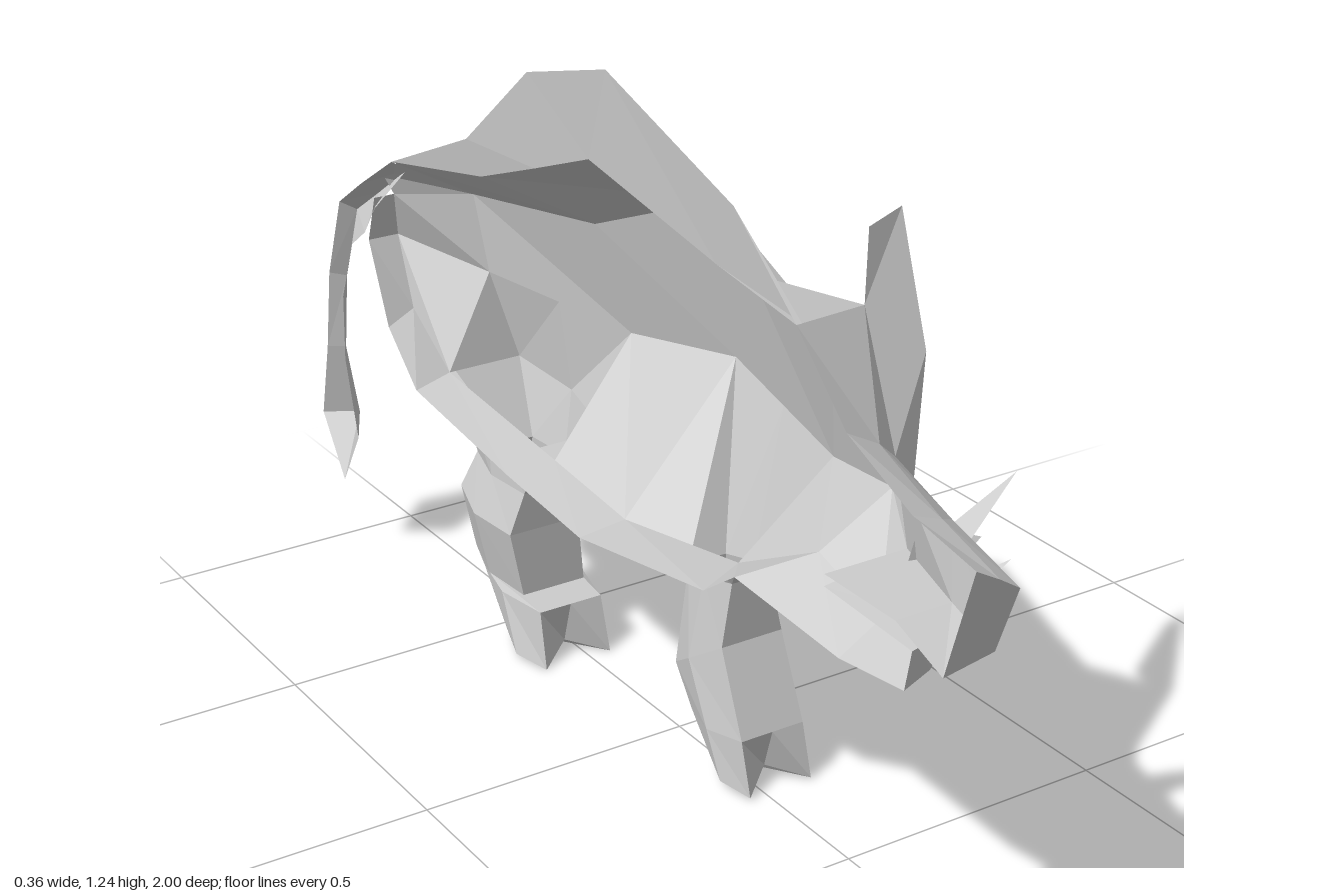
import * as THREE from 'three';

const hide = new THREE.MeshStandardMaterial({ color: 0xcccccc, flatShading: true, side: THREE.DoubleSide });
hide.name = 'grey hide';
const CUT = -0.18; // plane where the half model is open

const mix = (a, b, t = 0.5) => a.map((v, i) => v + (b[i] - v) * t);

// Skins a list of cross-sections; each section is a list of [x, y, z] points.
function loft(name, rows, { closed = false, cap = false } = {}) {
  const out = [];
  const n = rows[0].length;
  for (let r = 0; r < rows.length - 1; r++) {
    for (let c = 0; c < (closed ? n : n - 1); c++) {
      const k = (c + 1) % n;
      const a = rows[r][c], b = rows[r][k], e = rows[r + 1][k], d = rows[r + 1][c];
      out.push(...a, ...d, ...e, ...a, ...e, ...b);
    }
  }
  if (cap) {
    const end = rows[rows.length - 1];
    const mid = [0, 1, 2].map(i => end.reduce((s, p) => s + p[i], 0) / n);
    for (let c = 0; c < n; c++) out.push(...mid, ...end[(c + 1) % n], ...end[c]);
  }
  const g = new THREE.BufferGeometry();
  g.setAttribute('position', new THREE.Float32BufferAttribute(out, 3));
  g.computeVertexNormals();
  const mesh = new THREE.Mesh(g, hide);
  mesh.name = name;
  return mesh;
}

// Trunk sections from rump to shoulder: spine, back, flank, belly edge, belly middle
const trunk = [
  [[-0.16, 0.84, -0.735], [-0.14, 0.80, -0.735], [-0.12, 0.71, -0.765], [-0.12, 0.58, -0.715], [CUT, 0.56, -0.70]],
  [[-0.17, 0.885, -0.66], [-0.02, 0.80, -0.655], [0.0, 0.65, -0.64], [-0.10, 0.48, -0.62], [CUT, 0.47, -0.60]],
  [[-0.17, 0.95, -0.35], [0.04, 0.83, -0.33], [0.10, 0.62, -0.31], [-0.09, 0.44, -0.26], [CUT, 0.43, -0.27]],
  [[-0.17, 1.08, 0], [0.075, 0.965, 0], [0.14, 0.66, -0.04], [-0.09, 0.42, -0.03], [CUT, 0.41, -0.03]],
  [[-0.17, 1.02, 0.36], [0.04, 0.855, 0.37], [0.12, 0.60, 0.27], [-0.07, 0.465, 0.28], [CUT, 0.475, 0.345]],
];
const shoulder = trunk[4];

// Leg ring: front and back heights and depths, inner and outer x, toe notch.
function legRing([yf, yb, zf, zb, xi, xo, notch = 0]) {
  const cx = (xi + xo) / 2, w = (xo - xi) / 2, ym = (yf + yb) / 2, zm = (zf + zb) / 2;
  return [
    [cx - w * 0.75, yf, zf], [cx, yf + notch * 0.4, zf - notch], [cx + w * 0.75, yf, zf],
    [xo, ym, zm], [cx + w * 0.75, yb, zb], [cx - w * 0.75, yb, zb], [xi, ym, zm],
  ];
}

// Leg growing out of the opening between two neighbouring trunk sections.
function leg(name, back, front, rings) {
  const [outB, inB, outF, inF] = [back[2], back[3], front[2], front[3]];
  const socket = [inF, mix(inF, outF), outF, mix(outF, outB), outB, inB, mix(inB, inF)];
  return loft(name, [socket, ...rings.map(legRing)], { closed: true, cap: true });
}

// Tapered spike from a triangular base to a tip.
function spike(name, base, tip) {
  return loft(name, [base, base.map(() => tip)], { closed: true });
}

export function createModel() {
  const model = new THREE.Group();
  model.name = 'halfBoar';

  // Trunk, leaving openings for the legs
  model.add(loft('back', trunk.map(s => s.slice(0, 3))));
  model.add(loft('belly', trunk.map(s => s.slice(3))));
  model.add(loft('flank', trunk.slice(2, 4).map(s => s.slice(2, 4))));
  model.add(loft('haunch', trunk.slice(0, 2).map(s => s.slice(2, 4))));
  model.add(loft('rump', [
    [[CUT, 0.80, -0.735], [CUT, 0.71, -0.765], [CUT, 0.56, -0.70]],
    trunk[0].slice(1, 4),
  ]));

  // Crest: thin strip from the spine up to the ridge
  const ridge = [[0.89, -0.66], [1.01, -0.38], [1.18, -0.17], [1.245, 0.07], [1.13, 0.42], [1.0, 0.58]];
  const spine = [[0.885, -0.66], [0.95, -0.35], [1.016, -0.17], [1.08, 0], [1.02, 0.36], [1.0, 0.58]];
  model.add(loft('crest', ridge.map(([y, z], i) => [[CUT, y, z], [-0.17, ...spine[i]]])));

  // Neck and cheeks
  const face = [
    [CUT, 0.88, 0.705], [-0.11, 0.84, 0.69], [-0.05, 0.79, 0.65],
    [-0.03, 0.64, 0.66], [-0.10, 0.555, 0.69], [CUT, 0.52, 0.70],
  ];
  model.add(loft('neck', [
    [shoulder[0], mix(shoulder[0], shoulder[1]), ...shoulder.slice(1)],
    [[CUT, 1.0, 0.58], [0, 0.965, 0.50], [0.095, 0.88, 0.53], [0.04, 0.67, 0.53], [-0.08, 0.585, 0.51], [CUT, 0.535, 0.43]],
    face,
  ]));

  // Snout and lower jaw
  model.add(loft('snout', [
    [...face.slice(0, 4), [CUT, 0.64, 0.66]],
    [[CUT, 0.815, 0.86], [-0.12, 0.79, 0.85], [-0.07, 0.76, 0.81], [-0.08, 0.64, 0.83], [CUT, 0.64, 0.83]],
    [[CUT, 0.79, 1.0], [-0.13, 0.76, 0.99], [-0.085, 0.73, 0.98], [-0.09, 0.615, 0.94], [CUT, 0.60, 0.94]],
  ], { cap: true }));
  model.add(loft('lowerJaw', [
    [[CUT, 0.62, 0.66], ...face.slice(3)],
    [[CUT, 0.61, 0.87], [-0.095, 0.62, 0.86], [-0.135, 0.56, 0.855], [CUT, 0.54, 0.855]],
  ], { cap: true }));

  // Tusks
  model.add(spike('largeTuskRoot', [[-0.06, 0.61, 0.69], [-0.06, 0.63, 0.77], [-0.04, 0.70, 0.70]], [0.06, 0.66, 0.72]));
  model.add(spike('largeTusk', [[-0.03, 0.63, 0.67], [-0.03, 0.63, 0.75], [0.05, 0.66, 0.69]], [0.087, 0.775, 0.76]));
  model.add(spike('smallTusk', [[-0.09, 0.62, 0.77], [-0.09, 0.62, 0.84], [-0.03, 0.64, 0.79]], [0.0, 0.70, 0.86]));

  // Ear: thin wedge sweeping back from the brow
  model.add(loft('ear', [
    [[0, 0.965, 0.50], [0.095, 0.88, 0.53], [0.05, 0.92, 0.45]],
    [[0.065, 1.05, 0.42], [0.18, 1.04, 0.35], [0.12, 1.03, 0.37]],
  ], { closed: true }));

  // Legs with cloven feet
  model.add(leg('foreLeg', trunk[3], shoulder, [
    [0.38, 0.36, 0.20, 0.07, -0.04, 0.06],
    [0.26, 0.17, 0.19, 0.05, -0.06, 0.10],
    [0.11, 0.10, 0.25, 0.10, -0.06, 0.105],
    [0.01, 0.03, 0.27, 0.15, -0.055, 0.11, 0.05],
  ]));
  model.add(leg('hindLeg', trunk[1], trunk[2], [
    [0.44, 0.48, -0.32, -0.62, -0.11, 0.07],
    [0.33, 0.35, -0.37, -0.54, -0.11, 0.045],
    [0.25, 0.28, -0.38, -0.56, -0.14, 0.05],
    [0.12, 0.15, -0.385, -0.56, -0.11, 0.06],
    [0.11, 0.12, -0.325, -0.53, -0.11, 0.06],
    [0.005, 0.02, -0.30, -0.44, -0.115, 0.065, 0.05],
  ]));

  // Tail: [outer z, y, inner z, y, side x], ending in a tuft
  model.add(loft('tail', [
    [-0.66, 0.89, -0.735, 0.78, -0.14],
    [-0.79, 0.81, -0.78, 0.72, -0.145],
    [-0.88, 0.75, -0.835, 0.68, -0.15],
    [-0.94, 0.59, -0.885, 0.56, -0.15],
    [-0.965, 0.43, -0.89, 0.43, -0.15],
    [-1.0, 0.28, -0.85, 0.28, -0.12],
    [-0.92, 0.165, -0.92, 0.165, CUT],
  ].map(([zo, yo, zi, yi, x]) => {
    const inner = [CUT, yi, zi], outer = [CUT, yo, zo];
    const [, y, z] = mix(inner, outer, 0.75);
    return [inner, [x, y, z], outer];
  })));

  return model;
}
